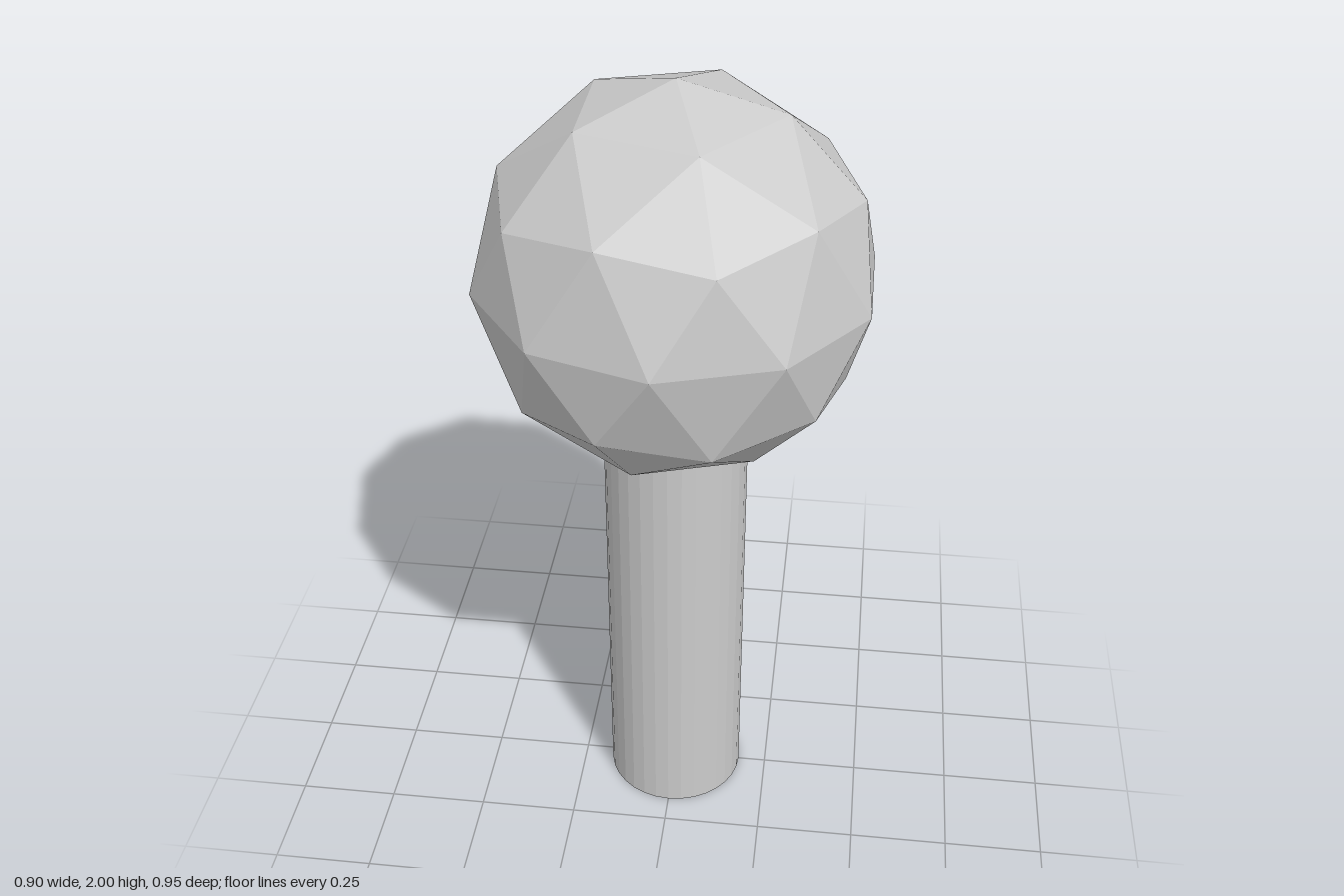
import * as THREE from 'three';

export function createModel() {
  const model = new THREE.Group();
  const material = new THREE.MeshStandardMaterial({ color: 0xcccccc, flatShading: true });

  const add = (name, geometry, y) => {
    const mesh = new THREE.Mesh(geometry, material);
    mesh.name = name;
    mesh.position.y = y;
    model.add(mesh);
  };

  // Round post, its top end sunk into the ball
  const postHeight = 1.12;
  add('post', new THREE.CylinderGeometry(0.177, 0.177, postHeight, 32), postHeight / 2);

  // Faceted ball, turned so that one five-sided corner points straight up
  const radius = 0.475;
  const ball = new THREE.IcosahedronGeometry(radius, 1);
  ball.rotateZ(-Math.atan(2 / (1 + Math.sqrt(5))));
  add('ball', ball, 2 - radius);

  return model;
}
